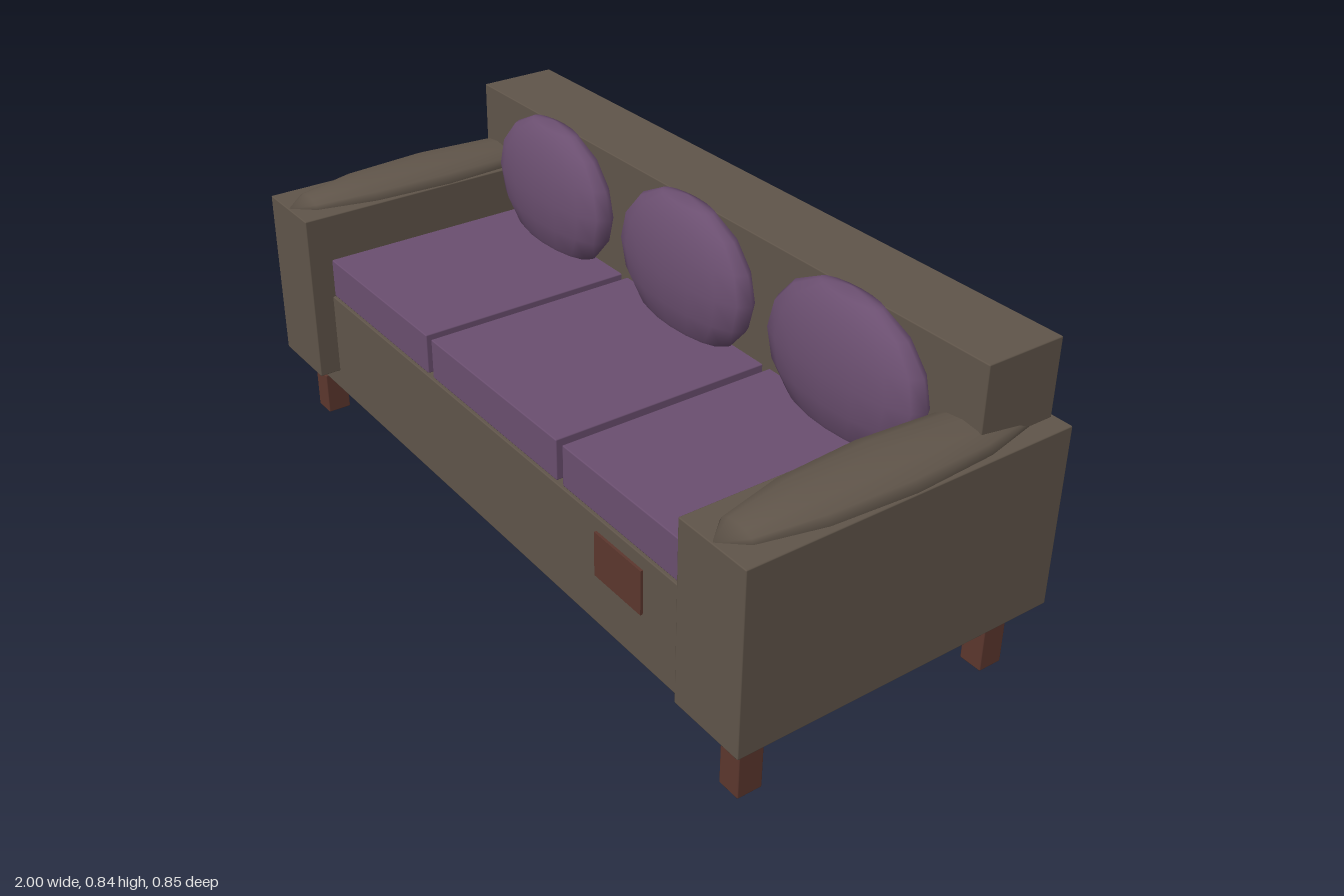
import * as THREE from 'three';
import { RoundedBoxGeometry } from 'three/addons/geometries/RoundedBoxGeometry.js';

const material = (name, color) => {
  const m = new THREE.MeshStandardMaterial({ color });
  m.name = name;
  return m;
};

export function createModel() {
  const sofa = new THREE.Group();
  sofa.name = 'sofa';
  const taupe = material('taupe upholstery', 0x60554a);
  const purple = material('purple fabric', 0x6b4f70);
  const wood = material('dark wood', 0x5c372e);

  const add = (name, geometry, mat) => {
    const mesh = new THREE.Mesh(geometry, mat);
    mesh.name = name;
    sofa.add(mesh);
    return mesh;
  };

  // Box given by its limits on each axis, with a very small bevel
  const box = (name, mat, [x0, x1], [y0, y1], [z0, z1]) => {
    const g = new RoundedBoxGeometry(x1 - x0, y1 - y0, z1 - z0, 1, 0.003);
    add(name, g, mat).position.set((x0 + x1) / 2, (y0 + y1) / 2, (z0 + z1) / 2);
  };

  // Frame and backrest
  box('base', taupe, [-0.95, 0.95], [0.117, 0.4], [-0.407, 0.37]);
  box('backrest', taupe, [-0.95, 0.95], [0.27, 0.82], [-0.418, -0.21]);

  // Arms, each with a faceted oval pad running front to back
  for (const side of [-1, 1]) {
    const label = side > 0 ? 'left' : 'right';
    const xs = side > 0 ? [0.795, 1] : [-1, -0.795];
    box(label + 'Arm', taupe, xs, [0.175, 0.63], [-0.427, 0.427]);
    const pad = new THREE.SphereGeometry(1, 12, 6);
    pad.rotateX(Math.PI / 2);
    pad.scale(0.1, 0.047, 0.425);
    add(label + 'ArmPad', pad, taupe).position.set(side * 0.897, 0.629, 0);

    // Legs
    const legX = side > 0 ? [0.883, 0.944] : [-0.944, -0.883];
    box(label + 'FrontLeg', wood, legX, [0, 0.117], [0.311, 0.375]);
    box(label + 'BackLeg', wood, legX, [0, 0.117], [-0.375, -0.311]);
  }

  // Seat cushions and oval back pillows
  ['right', 'middle', 'left'].forEach((label, i) => {
    const x = (i - 1) * 0.57;
    box(label + 'SeatCushion', purple, [x - 0.273, x + 0.273], [0.4, 0.505], [-0.25, 0.363]);
    const pillow = new THREE.SphereGeometry(1, 16, 8);
    pillow.scale(0.25, 0.19, 0.074);
    add(label + 'BackPillow', pillow, purple).position.set(x, 0.65, -0.19);
  });

  // Small wooden plate on the front of the base
  const plate = new THREE.BoxGeometry(0.17, 0.114, 0.009);
  add('frontPlate', plate, wood).position.set(0.522, 0.308, 0.372);

  return sofa;
}
